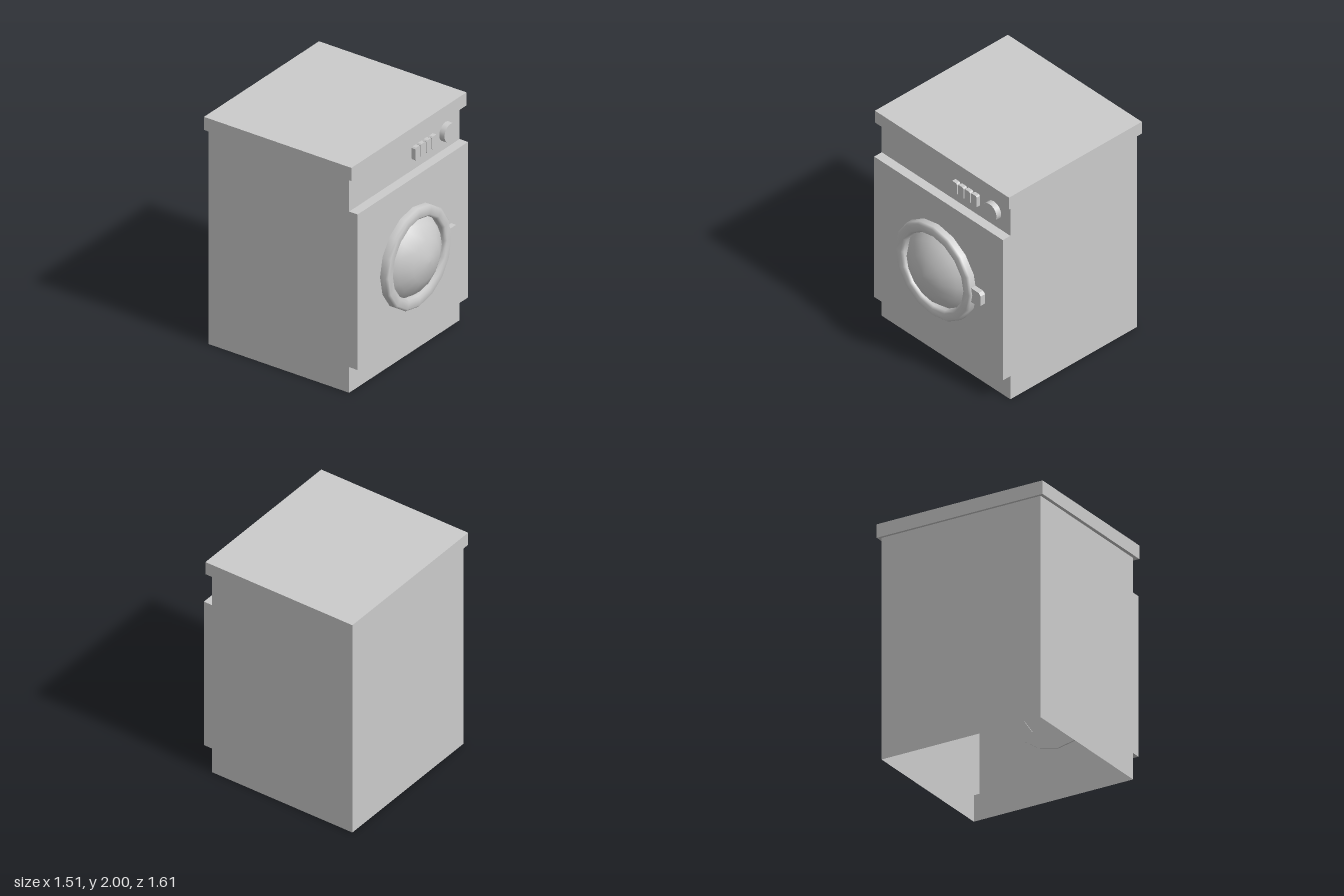
import * as THREE from 'three';

const material = new THREE.MeshStandardMaterial({ color: 0xcccccc });
const shellMaterial = new THREE.MeshStandardMaterial({ color: 0xcccccc, side: THREE.DoubleSide });

const HALF_WIDTH = 0.725;
const PANEL_Z = 0.56;   // recessed control panel and plinth
const FRONT_Z = 0.64;   // raised middle of the front
const DOOR_Y = 0.907;

function addMesh(parent, name, geometry, mat = material) {
  const mesh = new THREE.Mesh(geometry, mat);
  mesh.name = name;
  parent.add(mesh);
  return mesh;
}

// Lathe turned so that its axis points to the front; points are [radius, z]
function frontLathe(points, sides) {
  const profile = points.map(([r, z]) => new THREE.Vector2(r, z));
  return new THREE.LatheGeometry(profile, sides).rotateX(Math.PI / 2);
}

// Plate with cut corners, centred on x and y, back face on z = 0
function cutCornerPlate(width, height, depth, cut) {
  const w = width / 2, h = height / 2;
  const corners = [
    [w - cut, -h], [w, -h + cut], [w, h - cut], [w - cut, h],
    [-w + cut, h], [-w, h - cut], [-w, -h + cut], [-w + cut, -h],
  ];
  const shape = new THREE.Shape(corners.map(([x, y]) => new THREE.Vector2(x, y)));
  return new THREE.ExtrudeGeometry(shape, { depth, bevelEnabled: false });
}

// Hollow cabinet: a folded sheet closed by two side walls, open underneath
function createCabinet() {
  const cabinet = new THREE.Group();
  cabinet.name = 'cabinet';
  const profile = [ // [z, y] from the back foot over the top to the front foot
    [-0.78, 0], [-0.78, 1.885], [PANEL_Z, 1.885], [PANEL_Z, 1.59],
    [FRONT_Z, 1.59], [FRONT_Z, 0.225], [PANEL_Z, 0.225], [PANEL_Z, 0],
  ];

  const sheet = new THREE.PlaneGeometry(HALF_WIDTH * 2, 1, 1, profile.length - 1);
  const position = sheet.attributes.position;
  for (let i = 0; i < position.count; i++) {
    const [z, y] = profile[Math.floor(i / 2)];
    position.setXYZ(i, position.getX(i), y, z);
  }
  const folded = sheet.toNonIndexed();
  folded.computeVertexNormals();
  addMesh(cabinet, 'frontTopAndBack', folded, shellMaterial);

  const outline = new THREE.Shape(profile.map(([z, y]) => new THREE.Vector2(z, y)));
  const wall = new THREE.ShapeGeometry(outline).rotateY(-Math.PI / 2).translate(-HALF_WIDTH, 0, 0);
  addMesh(cabinet, 'rightWall', wall, shellMaterial);
  addMesh(cabinet, 'leftWall', wall, shellMaterial).scale.x = -1;
  return cabinet;
}

// Round door with rim, bulging glass and handle
function createDoor() {
  const door = new THREE.Group();
  door.name = 'door';
  door.position.set(0, DOOR_Y, FRONT_Z);

  addMesh(door, 'doorRim', frontLathe([
    [0.43, -0.01], [0.43, 0.05], [0.412, 0.068],
    [0.356, 0.068], [0.336, 0.05], [0.336, -0.01],
  ], 16));
  addMesh(door, 'doorGlass', frontLathe([
    [0.345, 0], [0.285, 0.07], [0.175, 0.132], [0.06, 0.16], [0, 0.163],
  ], 16));
  addMesh(door, 'doorHandle', cutCornerPlate(0.13, 0.135, 0.046, 0.022)).position.x = 0.46;
  return door;
}

// Push buttons and program dial
function createControls() {
  const controls = new THREE.Group();
  controls.name = 'controls';
  controls.position.set(0, 1.74, PANEL_Z);

  const button = cutCornerPlate(0.065, 0.113, 0.035, 0.01);
  for (let i = 0; i < 4; i++) {
    addMesh(controls, `button${i + 1}`, button).position.x = 0.129 + i * 0.0735;
  }
  const dial = new THREE.CylinderGeometry(0.079, 0.082, 0.047, 16).rotateX(Math.PI / 2);
  addMesh(controls, 'dial', dial).position.set(0.54, 0, 0.0235);
  return controls;
}

export function createModel() {
  const model = new THREE.Group();
  model.name = 'washingMachine';
  model.add(createCabinet(), createDoor(), createControls());

  // Overhanging worktop
  const worktop = addMesh(model, 'worktop', new THREE.BoxGeometry(1.51, 0.115, 1.405));
  worktop.position.set(0, 1.9425, -0.0995);
  return model;
}
